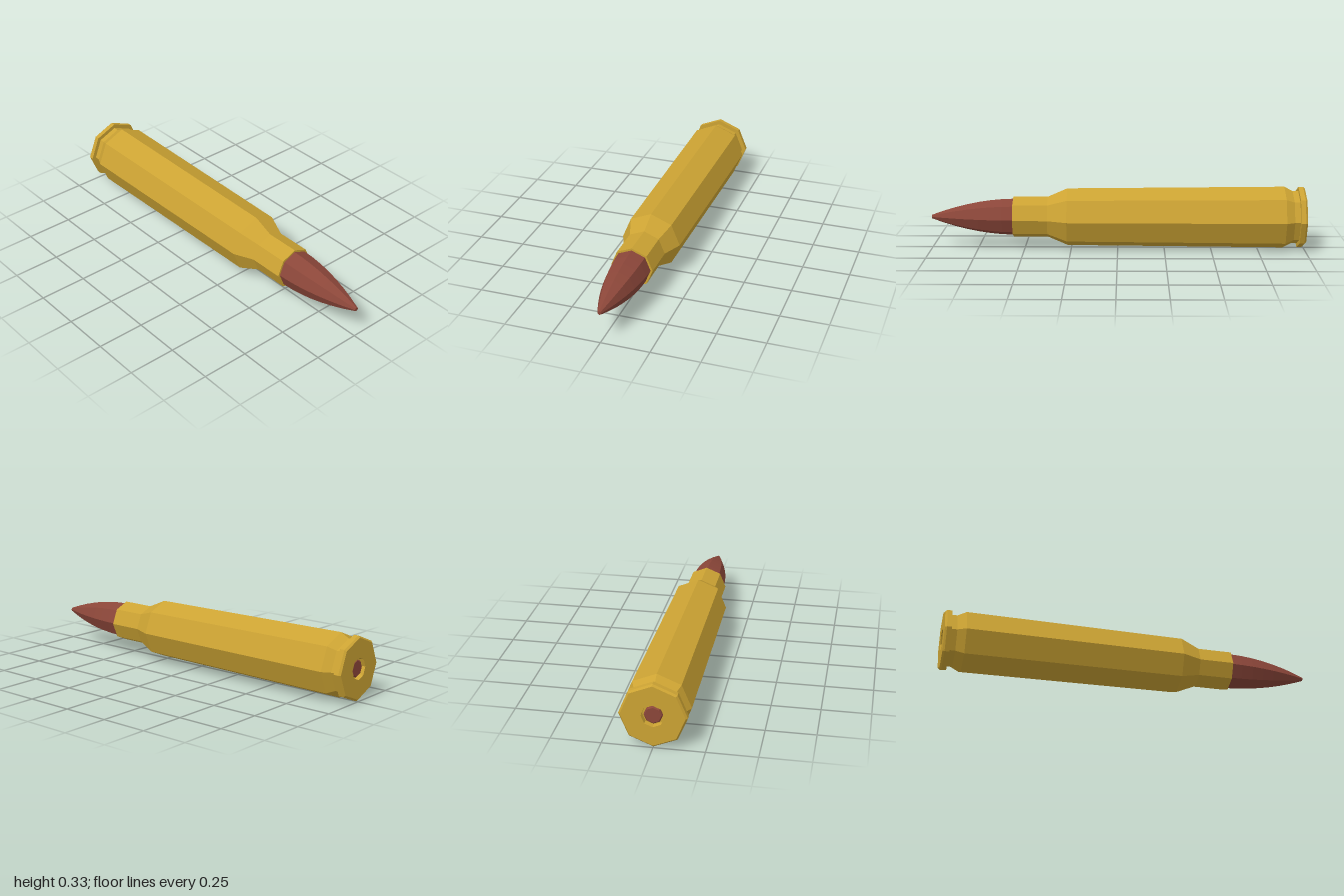
import * as THREE from 'three';

const SIDES = 8;
const AXIS_Y = 0.167; // height of the long axis when lying on the ground

// Revolves [radius, z] pairs (rear to front) around the z axis
function turned(name, profile, color) {
  const geometry = new THREE.LatheGeometry(profile.map(([r, z]) => new THREE.Vector2(r, z)), SIDES);
  geometry.rotateX(Math.PI / 2);
  const mesh = new THREE.Mesh(geometry, new THREE.MeshStandardMaterial({ color, flatShading: true }));
  mesh.name = name;
  mesh.position.y = AXIS_Y;
  return mesh;
}

export function createModel() {
  const group = new THREE.Group();
  group.name = 'cartridge';
  const brass = 0xcca333, copper = 0x8b4639;

  // Case: primer pocket, rim, extractor groove, tapered body, shoulder, neck, mouth
  group.add(turned('case', [
    [0, -0.975], [0.055, -0.975], [0.057, -1],
    [0.157, -1], [0.166, -0.99], [0.166, -0.965],
    [0.143, -0.965], [0.143, -0.935], [0.167, -0.89],
    [0.156, 0.27], [0.11, 0.375], [0.11, 0.56], [0.09, 0.56],
  ], brass));

  // Bullet: curved ogive ending in a small flat tip
  const ogive = [];
  const steps = 7;
  for (let i = 0; i <= steps; i++) {
    const t = i / steps;
    ogive.push([0.01 + 0.089 * (1 - t ** 1.9), 0.555 + 0.445 * t]);
  }
  group.add(turned('bullet', [...ogive, [0, 1]], copper));

  // Primer: bevelled button recessed in the case head
  group.add(turned('primer', [
    [0, -0.99], [0.04, -0.99], [0.046, -0.984], [0.046, -0.97],
  ], copper));

  return group;
}
